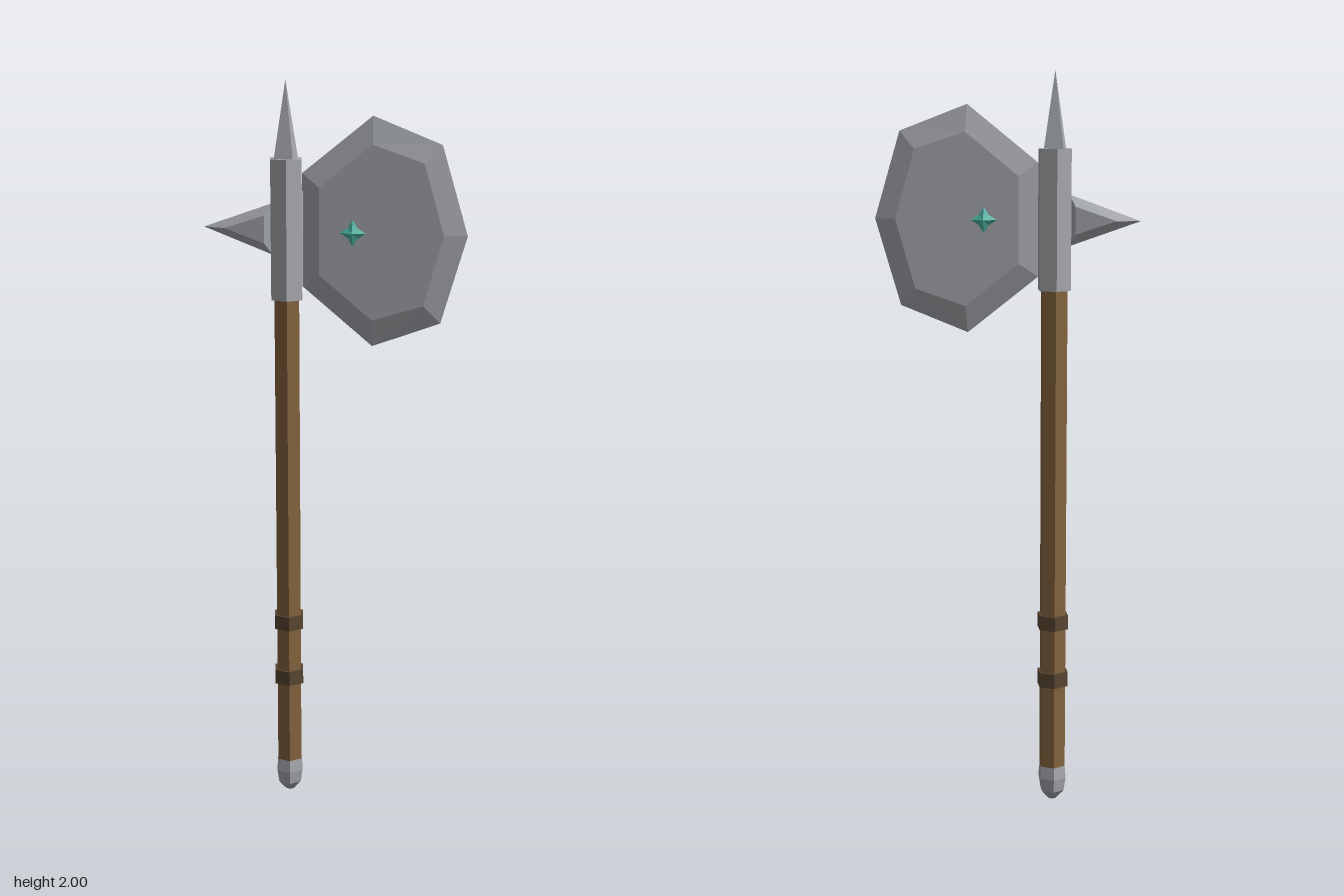
import * as THREE from 'three';

const AXIS = -0.129; // x of the shaft
const TURN = 0.27; // twist of the six-sided parts

const flat = (color, name) => {
  const m = new THREE.MeshStandardMaterial({ color, flatShading: true });
  m.name = name;
  return m;
};

// Plate with a sharp rim at z = 0 (outer) and flat faces at z = +-h (inner); outlines run counter-clockwise
function bevelPlate(outer, inner, h) {
  const pos = [];
  const n = outer.length;
  const tri = (a, b, c, front) => pos.push(...a, ...(front ? b : c), ...(front ? c : b));
  for (const s of [1, -1]) {
    const o = outer.map(([x, y]) => [x, y, 0]);
    const f = inner.map(([x, y]) => [x, y, s * h]);
    for (let i = 0; i < n; i++) {
      const j = (i + 1) % n;
      tri(o[i], o[j], f[j], s > 0);
      tri(o[i], f[j], f[i], s > 0);
      if (i > 0 && i < n - 1) tri(f[0], f[i], f[j], s > 0);
    }
  }
  const g = new THREE.BufferGeometry();
  g.setAttribute('position', new THREE.Float32BufferAttribute(pos, 3));
  g.computeVertexNormals();
  return g;
}

// Eight-sided gem whose alternate corners are pulled in to make a four-pointed star
function starGem() {
  const profile = [[0.022, 0.017], [0.035, 0.023], [0, 0.036]].map(p => new THREE.Vector2(...p));
  const g = new THREE.LatheGeometry(profile, 8);
  const p = g.attributes.position;
  for (let i = 0; i < p.count; i++) {
    if (Math.floor(i / profile.length) % 2) {
      p.setX(i, p.getX(i) * 0.55);
      p.setZ(i, p.getZ(i) * 0.55);
    }
  }
  return g.rotateX(Math.PI / 2);
}

export function createModel() {
  const model = new THREE.Group();
  model.name = 'battleAxe';
  const steel = flat(0xa6a9ae, 'steel');
  const wood = flat(0x85643f, 'wood');
  const leather = flat(0x5a4632, 'leather');
  const teal = flat(0x4fb8a8, 'tealGem');

  const add = (name, geometry, material, x = 0, y = 0) => {
    const mesh = new THREE.Mesh(geometry, material);
    mesh.name = name;
    mesh.position.set(x, y, 0);
    model.add(mesh);
    return mesh;
  };
  // Six-sided prism on the shaft axis
  const prism = (name, r, y0, y1, material) =>
    add(name, new THREE.CylinderGeometry(r, r, y1 - y0, 6), material, AXIS, (y0 + y1) / 2).rotation.y = TURN;

  // Shaft, grip bands and head socket
  prism('shaft', 0.038, 0.09, 1.45, wood);
  prism('lowerBand', 0.045, 0.332, 0.373, leather);
  prism('upperBand', 0.045, 0.495, 0.535, leather);
  prism('socket', 0.0475, 1.425, 1.797, steel);

  // Pommel cap
  const cap = [[0, 0], [0.012, 0.002], [0.035, 0.028], [0.041, 0.065], [0.038, 0.1], [0, 0.1]];
  const pommel = new THREE.LatheGeometry(cap.map(p => new THREE.Vector2(...p)), 6);
  add('pommel', pommel, steel, AXIS).rotation.y = TURN;

  // Four-sided top spike
  const spike = new THREE.ConeGeometry(0.026 * Math.SQRT2, 0.205, 4).rotateY(Math.PI / 4);
  add('topSpike', spike, steel, AXIS, 1.8975);

  // Broad blade with bevelled edges
  add('blade', bevelPlate(
    [[-0.085, 1.46], [0.105, 1.308], [0.288, 1.378], [0.357, 1.61], [0.288, 1.842], [0.105, 1.912], [-0.085, 1.76]],
    [[-0.035, 1.495], [0.108, 1.38], [0.245, 1.425], [0.298, 1.61], [0.245, 1.795], [0.108, 1.84], [-0.035, 1.725]],
    0.018), steel);

  // Rear beak
  add('beak', bevelPlate(
    [[-0.357, 1.61], [-0.168, 1.542], [-0.168, 1.678]],
    [[-0.295, 1.61], [-0.186, 1.573], [-0.186, 1.647]],
    0.016), steel);

  // Gem on each face of the blade
  add('frontGem', starGem(), teal, 0.057, 1.61);
  add('backGem', starGem(), teal, 0.057, 1.61).rotation.y = Math.PI;

  return model;
}
